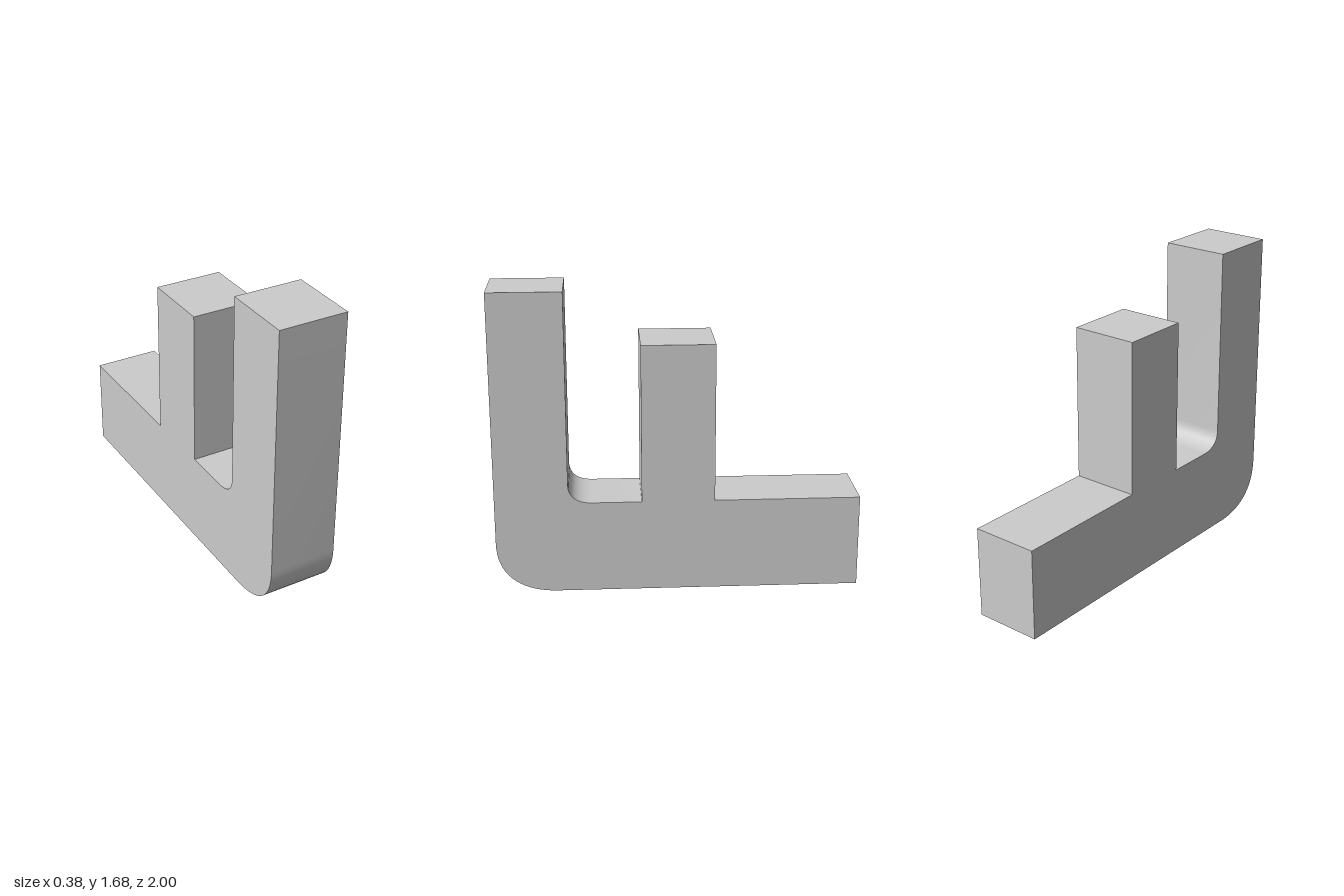
import * as THREE from 'three';
import { toCreasedNormals } from 'three/addons/utils/BufferGeometryUtils.js';

const WIDTH = 0.38;

export function createModel() {
  const group = new THREE.Group();
  group.name = 'forkedBlock';

  // Side profile: shape x runs along the model's z, shape y is height
  const profile = new THREE.Shape();
  profile.moveTo(-1, 0);
  profile.lineTo(0.69, 0);
  // Large rounded heel
  profile.bezierCurveTo(0.89, 0.01, 1, 0.11, 1, 0.29);
  // Tall front post
  profile.lineTo(1, 1.68);
  profile.lineTo(0.6, 1.68);
  profile.lineTo(0.6, 0.62);
  // Small inner fillet
  profile.bezierCurveTo(0.6, 0.55, 0.55, 0.515, 0.47, 0.515);
  // Shorter middle post
  profile.lineTo(0.2, 0.515);
  profile.lineTo(0.2, 1.39);
  profile.lineTo(-0.2, 1.39);
  profile.lineTo(-0.2, 0.515);
  // Back end of the base bar
  profile.lineTo(-1, 0.515);
  profile.closePath();

  const extruded = new THREE.ExtrudeGeometry(profile, {
    depth: WIDTH, bevelEnabled: false, curveSegments: 16,
  });
  extruded.translate(0, 0, -WIDTH / 2);
  extruded.rotateY(-Math.PI / 2);

  const body = new THREE.Mesh(
    toCreasedNormals(extruded, Math.PI / 6),
    new THREE.MeshStandardMaterial({ color: 0xcccccc }),
  );
  body.name = 'baseWithPosts';
  group.add(body);
  return group;
}
